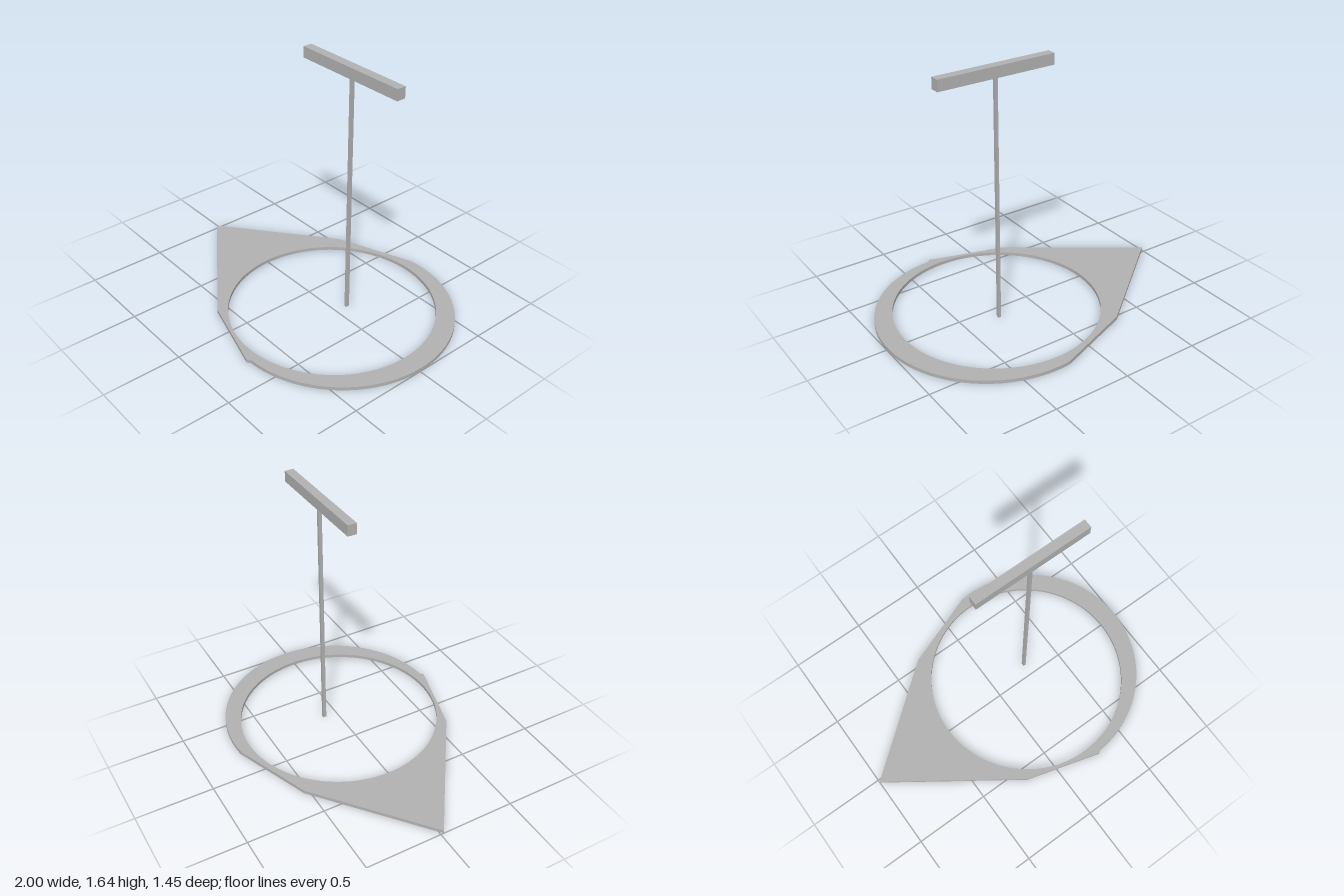
import * as THREE from 'three';

export function createModel() {
  const model = new THREE.Group();
  const grey = new THREE.MeshStandardMaterial({ color: 0xb2b2b2 });
  grey.name = 'plain grey';

  const add = (name, geometry, x, y, z) => {
    const mesh = new THREE.Mesh(geometry, grey);
    mesh.name = name;
    mesh.position.set(x, y, z);
    model.add(mesh);
  };

  // Flat ring drawn out to a point on one side; shape y becomes z
  const thickness = 0.022;
  const outline = new THREE.Shape();
  outline.moveTo(-1, 0.02);
  outline.lineTo(-0.31, -0.535);
  outline.lineTo(0.195, -0.725);
  outline.absarc(0.281, -0.013, 0.718, -1.69, 1.49, false);
  outline.lineTo(0.316, 0.705);
  outline.lineTo(0.295, 0.722);
  outline.lineTo(-0.2, 0.58);
  outline.closePath();
  const hole = new THREE.Path();
  hole.absarc(0.223, 0, 0.652, 0, Math.PI * 2, true);
  outline.holes.push(hole);
  const ring = new THREE.ExtrudeGeometry(outline, { depth: thickness, bevelEnabled: false, curveSegments: 64 });
  ring.rotateX(Math.PI / 2);
  add('pointedRing', ring, 0, thickness, 0);

  // Thin upright post and the crossbar on top of it
  add('post', new THREE.BoxGeometry(0.017, 1.58, 0.023), 0.266, 0.79, -0.088);
  add('crossbar', new THREE.BoxGeometry(0.768, 0.07, 0.058), 0.266, 1.61, -0.087);

  return model;
}
